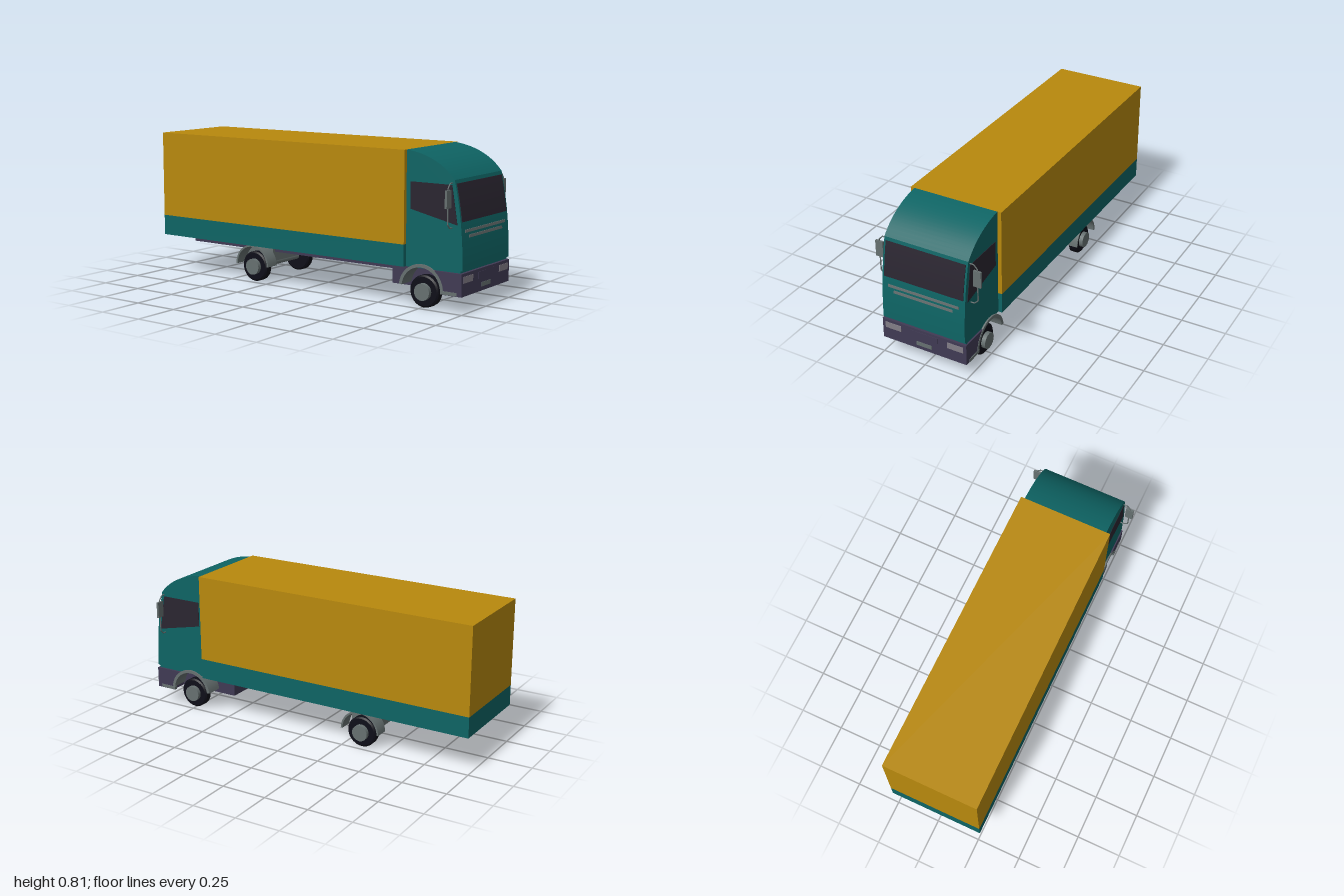
import * as THREE from 'three';
import { toCreasedNormals } from 'three/addons/utils/BufferGeometryUtils.js';

const mat = (color) => new THREE.MeshStandardMaterial({ color });

export function createModel() {
  const truck = new THREE.Group();
  const teal = mat(0x0e6464), yellow = mat(0xb8890d), purple = mat(0x403a54);
  const glass = mat(0x2a2530), grey = mat(0x667070), rubber = mat(0x0e0e18), lamp = mat(0x827d86);

  const add = (name, geometry, material) => {
    const mesh = new THREE.Mesh(geometry, material);
    mesh.name = name;
    truck.add(mesh);
    return mesh;
  };
  // box given by its limits on each axis
  const box = (name, material, x0, x1, y0, y1, z0, z1) => {
    const g = new THREE.BoxGeometry(x1 - x0, y1 - y0, z1 - z0);
    g.translate((x0 + x1) / 2, (y0 + y1) / 2, (z0 + z1) / 2);
    return add(name, g, material);
  };
  // side profile of (z, y) points, extruded across from x0 to x1
  const slab = (name, material, points, x0, x1) => {
    const shape = new THREE.Shape(points.map(([z, y]) => new THREE.Vector2(z, y)));
    const g = new THREE.ExtrudeGeometry(shape, { depth: x1 - x0, bevelEnabled: false });
    g.translate(0, 0, -x1);
    g.rotateY(-Math.PI / 2);
    return add(name, toCreasedNormals(g, 0.35), material);
  };
  const mirrored = (side, a, b) => (side > 0 ? [a, b] : [-b, -a]);
  const arc = (cz, cy, r, a0, a1, n = 20) =>
    Array.from({ length: n + 1 }, (_, i) => {
      const a = a0 + ((a1 - a0) * i) / n;
      return [cz + r * Math.cos(a), cy + r * Math.sin(a)];
    });

  // cargo body
  box('cargoBox', yellow, -0.265, 0.265, 0.325, 0.81, -1, 0.665);
  box('cargoSkirt', teal, -0.265, 0.265, 0.21, 0.325, -1, 0.665);

  // cab with curved front and roof
  const v = (z, y) => new THREE.Vector2(z, y);
  const front = new THREE.QuadraticBezierCurve(v(0.997, 0.222), v(0.997, 0.46), v(0.945, 0.675));
  const roof = new THREE.QuadraticBezierCurve(v(0.945, 0.675), v(0.85, 0.79), v(0.665, 0.81));
  const xy = (p) => [p.x, p.y];
  slab('cab', teal, [
    [0.665, 0.21], [0.985, 0.21], [0.985, 0.222],
    ...front.getPoints(14).map(xy), ...roof.getPoints(14).slice(1).map(xy),
  ], -0.243, 0.243);

  // panels that follow the curve of the cab front
  const frontPanel = (name, material, t0, t1, halfWidth) => {
    const outer = [], inner = [];
    for (let i = 0; i <= 8; i++) {
      const p = front.getPoint(t0 + ((t1 - t0) * i) / 8);
      outer.push([p.x + 0.003, p.y]);
      inner.unshift([p.x - 0.006, p.y]);
    }
    slab(name, material, [...outer, ...inner], -halfWidth, halfWidth);
  };
  frontPanel('windshield', glass, 0.526, 0.957, 0.232);
  frontPanel('upperGrilleStrip', grey, 0.405, 0.437, 0.208);
  frontPanel('lowerGrilleStrip', grey, 0.343, 0.375, 0.173);

  // bumper, hollowed for the front wheels
  slab('bumper', purple, [
    [0.887, 0.09], [0.997, 0.09], [0.997, 0.208], [0.835, 0.208],
    ...arc(0.76, 0.1, 0.13, 0.98, 0.08, 8),
  ], -0.25, 0.25);
  box('grilleRecess', purple, -0.083, 0.083, 0.157, 0.193, 0.99, 0.999);
  box('numberPlate', grey, -0.045, 0.045, 0.112, 0.134, 0.99, 1);

  // chassis
  box('frontChassis', purple, -0.15, 0.15, 0.09, 0.21, 0.525, 0.9);
  box('rearChassis', purple, -0.15, 0.15, 0.168, 0.21, -0.865, 0.525);
  box('rearAxleHousing', grey, -0.165, 0.165, 0.115, 0.209, -0.45, -0.265);
  const axleGeometry = new THREE.CylinderGeometry(0.018, 0.018, 0.36, 12).rotateZ(Math.PI / 2);

  const ring = (name, cz, cy, r0, r1, a0, a1, x0, x1) =>
    slab(name, grey, [...arc(cz, cy, r1, a0, a1), ...arc(cz, cy, r0, a1, a0)], x0, x1);

  // tyre cross-section turned about the axle
  const tyre = new THREE.LatheGeometry([
    v(0, -0.025), v(0.076, -0.025), v(0.085, -0.018), v(0.085, 0.018), v(0.076, 0.025), v(0, 0.025),
  ], 28).rotateZ(-Math.PI / 2);
  const tyreGeometry = toCreasedNormals(tyre, 0.5);
  const hubGeometry = new THREE.CylinderGeometry(0.045, 0.045, 0.03, 24).rotateZ(Math.PI / 2);

  for (const z of [0.76, -0.355]) {
    add('axle', axleGeometry, grey).position.set(0, 0.085, z);
    for (const s of [1, -1]) {
      add('tyre', tyreGeometry, rubber).position.set(s * 0.195, 0.085, z);
      add('hub', hubGeometry, grey).position.set(s * 0.228, 0.085, z);
    }
  }

  for (const s of [1, -1]) {
    // fenders
    ring('frontFender', 0.76, 0.1, 0.115, 0.132, 0.1, 3.02, ...mirrored(s, 0.155, 0.252));
    ring('rearFender', -0.355, 0.095, 0.105, 0.115, 0, Math.PI, ...mirrored(s, 0.165, 0.243));
    box('fenderStep', grey, ...mirrored(s, 0.235, 0.253), 0.092, 0.11, 0.875, 0.97);

    // side window
    slab('sideWindow', glass, [[0.69, 0.51], [0.965, 0.45], [0.932, 0.65], [0.69, 0.65]],
      ...mirrored(s, 0.24, 0.2455));

    box('headlight', lamp, ...mirrored(s, 0.138, 0.232), 0.158, 0.192, 0.99, 1);

    // mirror on a bent bracket
    box('mirror', grey, ...mirrored(s, 0.263, 0.307), 0.537, 0.628, 0.927, 0.939);
    const path = new THREE.CurvePath();
    const bends = [[0.236, 0.66], [0.265, 0.66], [0.286, 0.637], [0.286, 0.455], [0.265, 0.435], [0.236, 0.435]]
      .map(([x, y]) => new THREE.Vector3(s * x, y, 0.933));
    for (let i = 1; i < bends.length; i++) path.add(new THREE.LineCurve3(bends[i - 1], bends[i]));
    add('mirrorBracket', new THREE.TubeGeometry(path, 60, 0.0035, 6), grey);
  }

  return truck;
}
